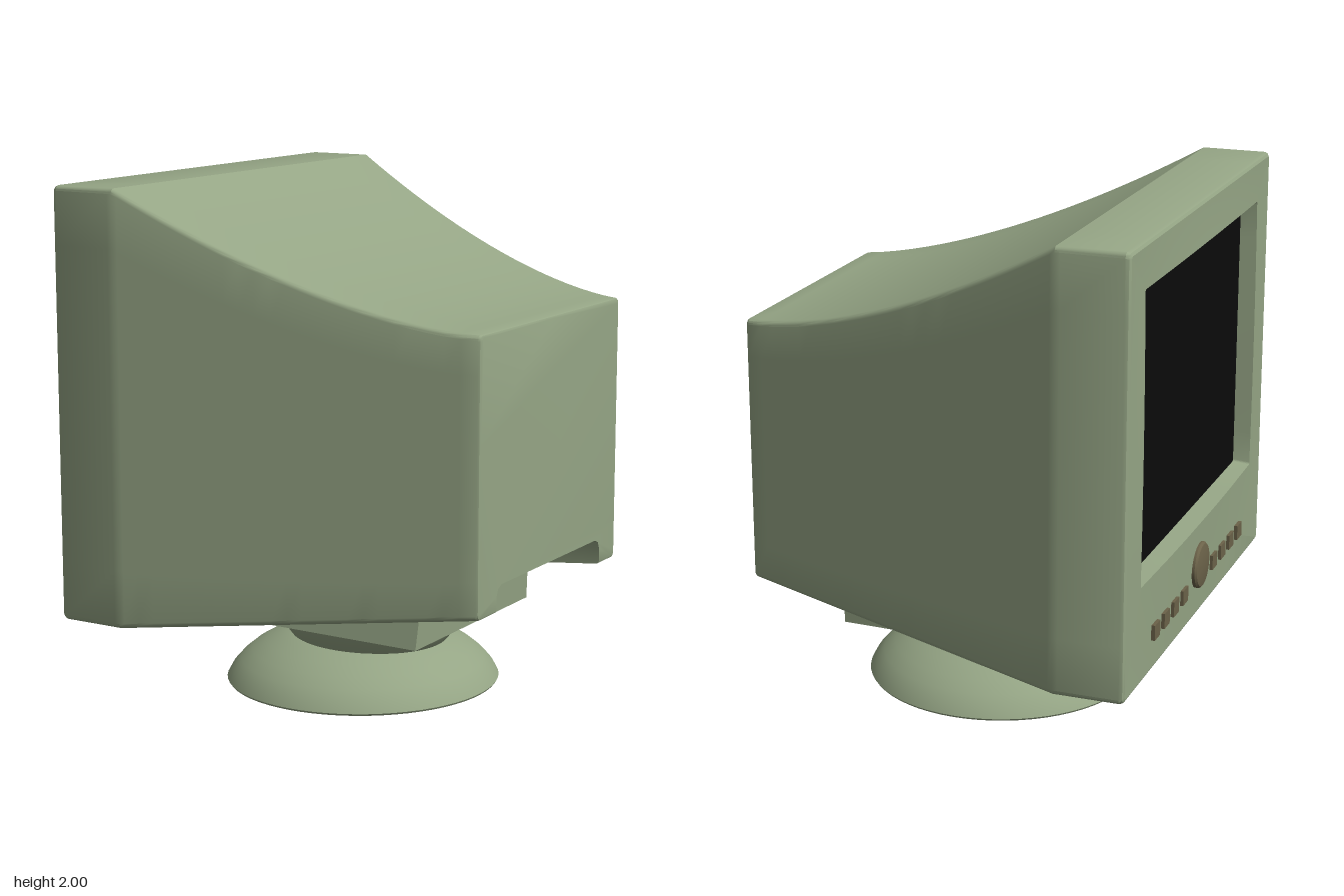
import * as THREE from 'three';
import { toCreasedNormals } from 'three/addons/utils/BufferGeometryUtils.js';
import { ConvexGeometry } from 'three/addons/geometries/ConvexGeometry.js';

const shellMat = new THREE.MeshStandardMaterial({ color: 0x95a585 });
const glassMat = new THREE.MeshStandardMaterial({ color: 0x0b0b0b });
const buttonMat = new THREE.MeshStandardMaterial({ color: 0x6b6249 });

function add(parent, name, geometry, material, x = 0, y = 0, z = 0) {
  const mesh = new THREE.Mesh(geometry, material);
  mesh.name = name;
  mesh.position.set(x, y, z);
  parent.add(mesh);
  return mesh;
}

// Gentle outward bow of the screen side
const bow = (z, y) => 0.022 * Math.max(0, 1 - (z / 0.9) ** 2) * Math.max(0, 1 - ((y - 1.165) / 0.825) ** 2);

// Rounded rectangle section at x; the bottom edge can carry the rear notch
function section(x, w, y0, y1, { notch = false, bowed = false, r = 0.02 } = {}) {
  const pts = []; // [s, y] with s = -z, counter-clockwise seen from +x
  const half = [[0.43, 0], [0.43, 0.535], [0.418, 0.563], [0.39, 0.575], [0.2, 0.575]];
  const bottomY = (h) => (notch && h ? h : y0);
  half.forEach(([s, h]) => pts.push([-s, bottomY(h)]));
  [...half].reverse().forEach(([s, h]) => pts.push([s, bottomY(h)]));
  const corners = [[w - r, y0 + r], [w - r, y1 - r], [r - w, y1 - r], [r - w, y0 + r]];
  corners.forEach(([cs, cy], c) => {
    for (let i = 0; i <= 4; i++) {
      const a = (c - 1 + i / 4) * Math.PI / 2;
      pts.push([cs + r * Math.cos(a), cy + r * Math.sin(a)]);
    }
    if (c === 3) return;
    const from = pts[pts.length - 1];
    const to = c === 1 ? [r - w, y1] : [from[0], c === 0 ? y1 - r : y0 + r];
    for (let i = 1; i < 8; i++) {
      pts.push([THREE.MathUtils.lerp(from[0], to[0], i / 8), THREE.MathUtils.lerp(from[1], to[1], i / 8)]);
    }
  });
  return pts.map(([s, y]) => [x - (bowed ? bow(s, y) : 0), y, -s]);
}

// Skin consecutive sections and close the last one
function skin(rings) {
  const n = rings[0].length, index = [];
  for (let k = 0; k < rings.length - 1; k++) {
    for (let i = 0; i < n; i++) {
      const a = k * n + i, b = k * n + (i + 1) % n;
      index.push(a, b, a + n, b, b + n, a + n);
    }
  }
  const last = rings[rings.length - 1].map(([, y, z]) => new THREE.Vector2(-z, y));
  const base = (rings.length - 1) * n;
  for (const [a, b, c] of THREE.ShapeUtils.triangulateShape(last, [])) {
    const ccw = THREE.ShapeUtils.area([last[a], last[b], last[c]]) > 0;
    index.push(base + a, base + (ccw ? b : c), base + (ccw ? c : b));
  }
  const g = new THREE.BufferGeometry();
  g.setAttribute('position', new THREE.Float32BufferAttribute(rings.flat(2), 3));
  g.setIndex(index);
  return toCreasedNormals(g, 0.45);
}

// Casing outline along x: straight bezel, then tapered tail with a concave top
function casingAt(x, options, inset = 0) {
  const t = Math.max(0, (x + 0.53) / 1.36);
  return section(x, 0.912 - 0.342 * t - inset, 0.33 + 0.143 * t + inset,
    1.52 + 0.48 * (1 - t) ** 1.6 - inset, options);
}

function casingGeometry() {
  const rings = [
    section(-0.735, 0.725, 0.73, 1.82, { r: 0.008 }),
    section(-0.8, 0.735, 0.72, 1.83, { r: 0.008, bowed: true }),
    section(-0.8, 0.82, 0.52, 1.91, { r: 0.012, bowed: true }),
    section(-0.803, 0.896, 0.346, 1.984, { r: 0.012 }),
    casingAt(-0.797, {}, 0.005),
    casingAt(-0.785), casingAt(-0.55), casingAt(-0.53), casingAt(-0.51),
  ];
  for (let i = 1; i <= 18; i++) rings.push(casingAt(-0.51 + 1.03 * i / 18));
  for (let i = 0; i <= 5; i++) rings.push(casingAt(0.52 + 0.3 * i / 5, { notch: true }));
  rings.push(casingAt(0.827, { notch: true }, 0.003));
  rings.push(casingAt(0.83, { notch: true }, 0.01));
  return skin(rings);
}

function lathe(points, segments = 64) {
  return toCreasedNormals(new THREE.LatheGeometry(points.map(([x, y]) => new THREE.Vector2(x, y)), segments), 0.6);
}

export function createModel() {
  const model = new THREE.Group();
  model.name = 'monitor';

  add(model, 'casing', casingGeometry(), shellMat);

  // Slightly bulged screen glass facing -x
  const glass = new THREE.PlaneGeometry(1.47, 1.12, 24, 18);
  const p = glass.attributes.position;
  for (let i = 0; i < p.count; i++) {
    p.setZ(i, 0.018 * (1 - (p.getX(i) / 0.735) ** 2) * (1 - (p.getY(i) / 0.56) ** 2));
  }
  glass.rotateY(-Math.PI / 2);
  glass.computeVertexNormals();
  add(model, 'screenGlass', glass, glassMat, -0.738, 1.275, 0);

  // Control row: four buttons on each side of a round knob
  const controls = new THREE.Group();
  controls.name = 'controls';
  model.add(controls);
  for (const side of [-1, 1]) {
    for (let i = 0; i < 4; i++) {
      add(controls, 'button', new THREE.BoxGeometry(0.05, 0.06, 0.065), buttonMat, -0.794, 0.49, side * (0.2 + 0.12 * i));
    }
  }
  const knob = lathe([[0.092, 0], [0.092, 0.035], [0.085, 0.043], [0.06, 0.048], [0, 0.05]], 40);
  add(controls, 'knob', knob, buttonMat, -0.785, 0.545, 0).rotation.z = Math.PI / 2;

  // Wedge under the casing that carries the swivel
  const wedge = [];
  for (const s of [-1, 1]) {
    wedge.push(new THREE.Vector3(-0.33, 0.355, s * 0.63), new THREE.Vector3(0.5, 0.285, s * 0.45),
      new THREE.Vector3(0.522, 0.572, s * 0.425));
  }
  add(model, 'swivelWedge', new ConvexGeometry(wedge), shellMat);

  // Lower part of the swivel ball
  const ball = new THREE.SphereGeometry(0.41, 64, 20, 0, Math.PI * 2, Math.PI * 0.56, Math.PI * 0.44);
  add(model, 'swivelBall', ball, shellMat, 0.04, 0.45, 0);

  // Domed foot
  const foot = lathe([[0, 0], [0.535, 0], [0.54, 0.008], [0.52, 0.045], [0.485, 0.085], [0.44, 0.122],
    [0.385, 0.155], [0.325, 0.182], [0.26, 0.203], [0, 0.203]]);
  add(model, 'foot', foot, shellMat).scale.z = 1.03;

  return model;
}
